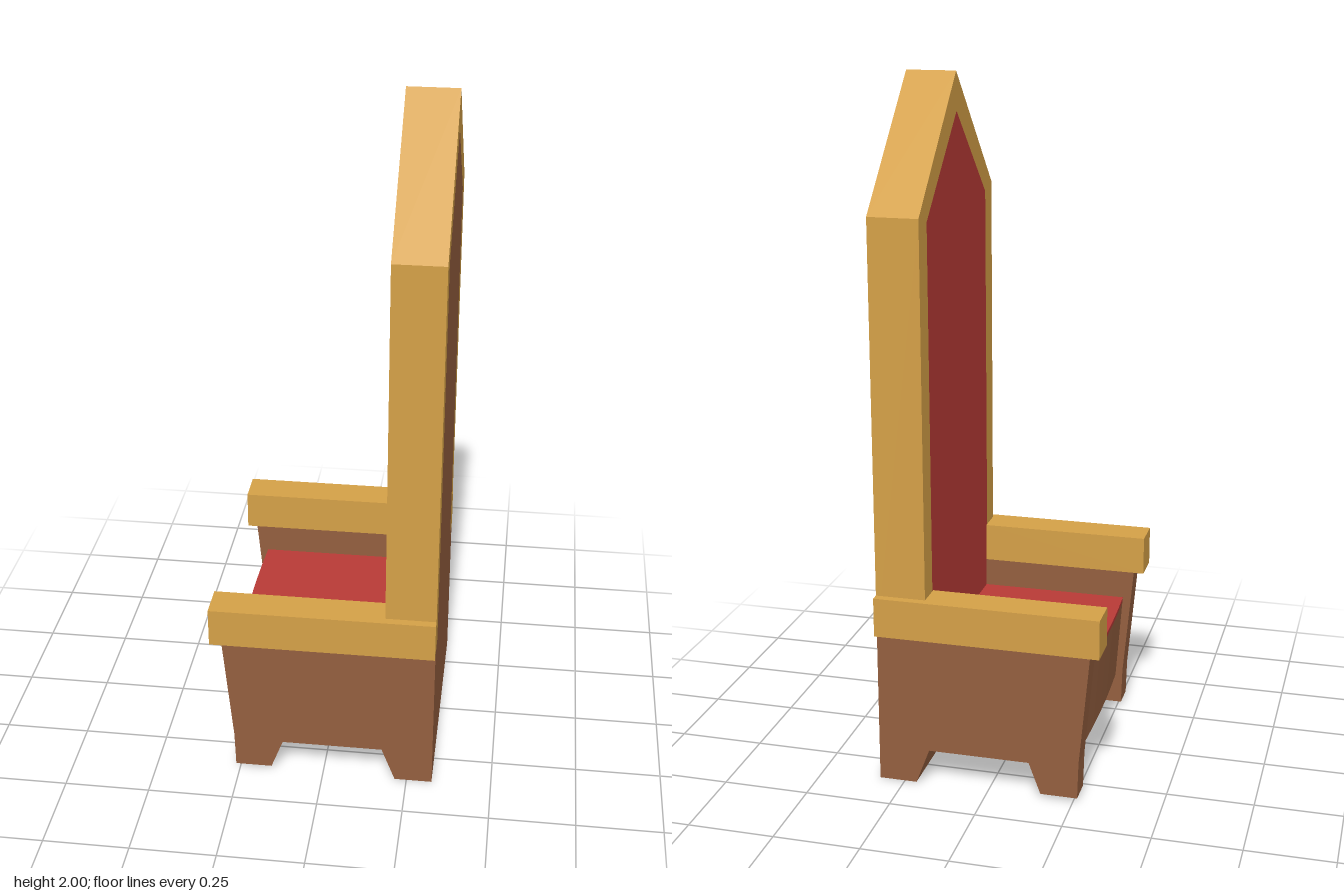
import * as THREE from 'three';

const material = (color) => new THREE.MeshStandardMaterial({ color, flatShading: true });

// Flat outline pushed to a solid along +z
const extrude = (points, depth) => new THREE.ExtrudeGeometry(
  new THREE.Shape(points.map(([a, b]) => new THREE.Vector2(a, b))), { depth, bevelEnabled: false });

// Outline in (z, y), solid from x0 to x1
const acrossX = (points, x0, x1) => extrude(points, x1 - x0).rotateY(Math.PI / 2).translate(x0, 0, 0);

// Outline in (x, -z), solid from y0 to y1
const acrossY = (points, y0, y1) => extrude(points, y1 - y0).rotateX(-Math.PI / 2).translate(0, y0, 0);

// Right half of an outline completed by its mirror image
const mirrored = (half) => [...half, ...half.filter(([a]) => a !== 0).reverse().map(([a, b]) => [-a, b])];

export function createModel() {
  const model = new THREE.Group();
  const gold = material(0xd4a047);
  const wood = material(0x945f3f);
  const red = material(0xb83a36);
  const add = (name, geometry, mat) => {
    const mesh = new THREE.Mesh(geometry, mat);
    mesh.name = name;
    model.add(mesh);
  };

  const back = 0.325, backFront = 0.18, backSplit = 0.25;
  const inner = 0.281, outer = 0.36, armOuter = 0.384;
  const seatY = 0.37, armBottom = 0.455, armTop = 0.57, apronBottom = 0.105;

  // Pointed frame of the backrest
  const opening = [[0.29, 0.465], [0.29, 1.625], [0, 1.89]];
  add('backrestFrame', acrossX([
    [-outer, armBottom], [-0.29, 0.465], [-0.29, 1.625], [0, 1.89], [0.29, 1.625], [0.29, 0.465],
    [outer, armBottom], [outer, 1.645], [0, 2], [-outer, 1.645],
  ], backFront, back), gold);

  // Panels filling the frame: wood behind, upholstery in front
  add('backPanel', acrossX(mirrored([[outer, armBottom], ...opening]), backSplit, back), wood);
  add('backUpholstery', acrossX(mirrored([[0.29, seatY - 0.01], ...opening.slice(1)]), backFront, backSplit), red);

  // Side panels with front and rear feet, and armrests notched around the backrest
  const sideProfile = [
    [-0.295, armBottom], [-0.265, 0.12], [-0.262, 0.012], [-0.155, 0.012], [-0.12, apronBottom],
    [0.175, apronBottom], [0.215, 0], [back, 0], [back, armBottom],
  ];
  for (const [label, side] of [['left', -1], ['right', 1]]) {
    add(`${label}SidePanel`, extrude(sideProfile, outer - inner)
      .translate(0, 0, side > 0 ? inner : -outer), wood);
    add(`${label}Armrest`, acrossY([
      [-0.325, inner], [backFront, inner], [backFront, outer], [back, outer],
      [back, armOuter], [-0.325, armOuter],
    ].map(([x, z]) => [x, -side * z]), armBottom, armTop), gold);
  }

  // Rear base between the side panels
  add('rearBase', extrude([
    [0.175, apronBottom], [0.215, 0], [back, 0], [back, armBottom],
    [backSplit, armBottom], [backSplit, seatY - 0.015], [0.175, seatY - 0.015],
  ], 2 * inner).translate(0, 0, -inner), wood);

  // Seat block with a bowed front that leans back toward the bottom
  const bow = [];
  for (let i = 0; i <= 6; i++) {
    const t = i / 3 - 1;
    bow.push([-0.262 - 0.008 * (1 - t * t), -t * inner]);
  }
  const seatPart = (y0, y1) => {
    const geometry = acrossY([...bow, [backFront, -inner], [backFront, inner]], y0, y1);
    const p = geometry.attributes.position;
    for (let i = 0; i < p.count; i++) {
      if (p.getX(i) < 0) {
        const drop = (seatY - p.getY(i)) / (seatY - apronBottom);
        p.setX(i, p.getX(i) + 0.019 * drop);
      }
    }
    geometry.computeVertexNormals();
    return geometry;
  };
  add('seatBase', seatPart(apronBottom, seatY - 0.015), wood);
  add('seatCushion', seatPart(seatY - 0.015, seatY), red);

  return model;
}
